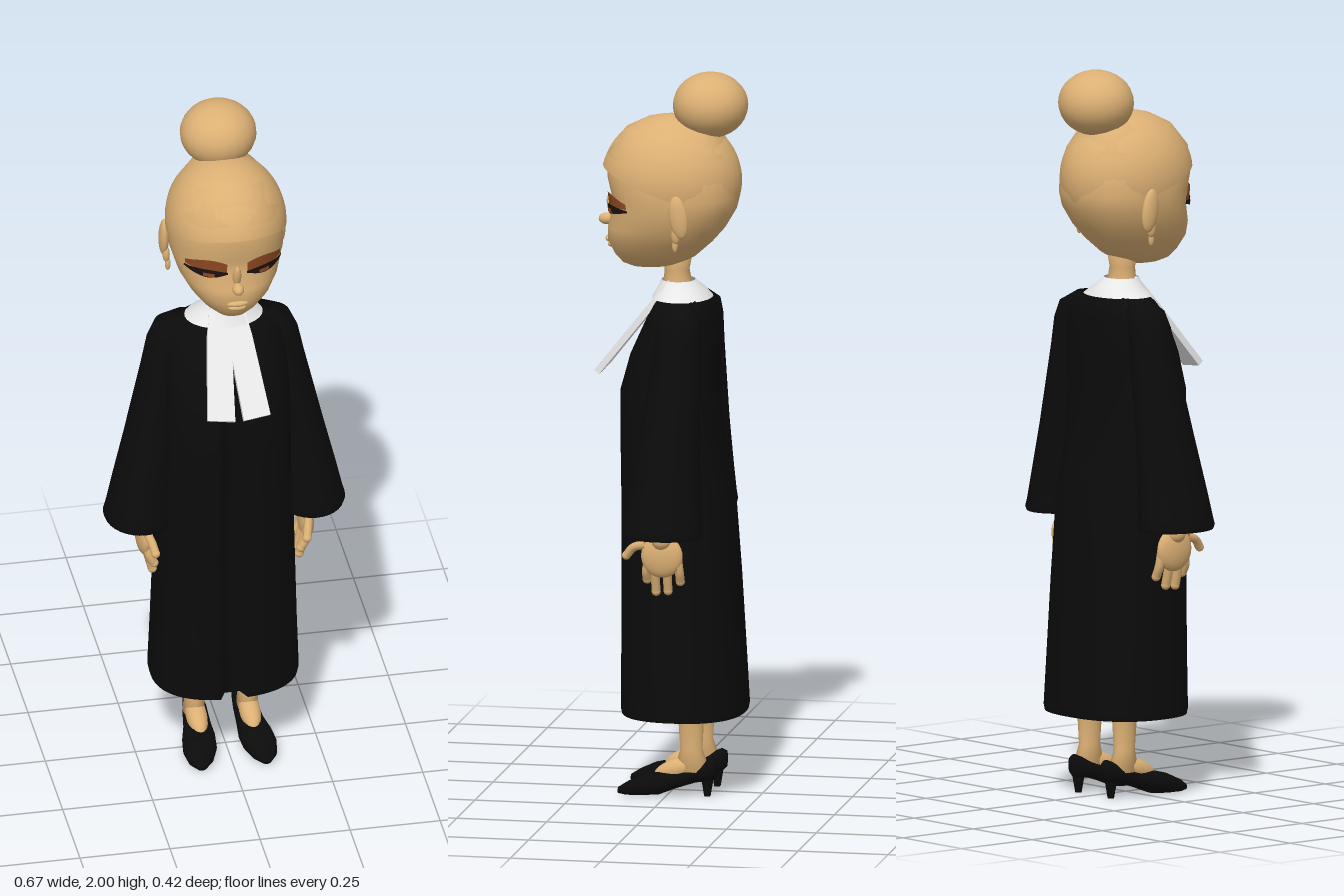
import * as THREE from 'three';

const mat = (name, color, side = THREE.FrontSide) =>
  Object.assign(new THREE.MeshStandardMaterial({ color, side }), { name });

// Joins rings of points into one smooth skin; caps are optional
function loft(rings, capped = true) {
  const n = rings[0].length, pos = rings.flat(2), idx = [];
  for (let i = 0; i < rings.length - 1; i++) {
    for (let j = 0; j < n; j++) {
      const a = i * n + j, b = i * n + (j + 1) % n;
      idx.push(a, b, a + n, b, b + n, a + n);
    }
  }
  if (capped) {
    [0, rings.length - 1].forEach((r, end) => {
      const c = pos.length / 3;
      for (let k = 0; k < 3; k++) pos.push(rings[r].reduce((s, p) => s + p[k], 0) / n);
      for (let j = 0; j < n; j++) {
        const a = r * n + j, b = r * n + (j + 1) % n;
        idx.push(c, end ? a : b, end ? b : a);
      }
    });
  }
  const g = new THREE.BufferGeometry();
  g.setAttribute('position', new THREE.Float32BufferAttribute(pos, 3));
  g.setIndex(idx);
  g.computeVertexNormals();
  return g;
}

// Rounded ring around (cx, cy) with radii a, b and a squareness exponent
function oval(cx, cy, a, b, n, e = 2) {
  return Array.from({ length: n }, (_, j) => {
    const t = j / n * Math.PI * 2, c = Math.cos(t), s = Math.sin(t);
    return [cx + a * Math.sign(c) * Math.abs(c) ** (2 / e), cy + b * Math.sign(s) * Math.abs(s) ** (2 / e)];
  });
}

// Level ring from [y, half width, front z, back z]
const level = ([y, rx, zf, zb], n, e, cx = 0) =>
  oval(cx, (zf + zb) / 2, rx, (zf - zb) / 2, n, e).map(([x, z]) => [x, y, z]);

const HEAD = [
  [1.87, .05, .07, -.10], [1.84, .10, .13, -.13], [1.78, .142, .175, -.165],
  [1.71, .156, .178, -.182], [1.66, .157, .166, -.184], [1.62, .153, .162, -.174],
  [1.57, .137, .176, -.145], [1.53, .113, .178, -.11], [1.49, .08, .158, -.065],
  [1.467, .052, .138, -.025], [1.455, .02, .11, .03],
];

// Depth of the face surface at a point
function faceZ(x, y) {
  const i = HEAD.findIndex(s => s[0] <= y), p = HEAD[i - 1], q = HEAD[i];
  const t = (p[0] - y) / (p[0] - q[0]);
  const [, rx, zf, zb] = p.map((v, k) => v + (q[k] - v) * t);
  return (zf + zb) / 2 + (zf - zb) / 2 * (1 - Math.abs(x / rx) ** 2.3) ** (1 / 2.3);
}

// Thin painted strip that follows the face
function facePatch(x0, x1, bottom, top, lift) {
  const pos = [], idx = [], n = 10;
  for (let i = 0; i <= n; i++) {
    const t = i / n, x = x0 + (x1 - x0) * t;
    for (const y of [bottom(t), top(t)]) pos.push(x, y, faceZ(x, y) + lift);
    if (i < n) idx.push(2 * i, 2 * i + 2, 2 * i + 1, 2 * i + 1, 2 * i + 2, 2 * i + 3);
  }
  const g = new THREE.BufferGeometry();
  g.setAttribute('position', new THREE.Float32BufferAttribute(pos, 3));
  g.setIndex(idx);
  g.computeVertexNormals();
  return g;
}

export function createModel() {
  const skin = mat('skin', 0xdcb074, THREE.DoubleSide);
  const black = mat('black cloth', 0x0b0b0b, THREE.DoubleSide);
  const white = mat('white linen', 0xe6e6e6, THREE.DoubleSide);
  const shadow = mat('eye shadow', 0x8f4a22, THREE.DoubleSide);
  const lash = mat('lash', 0x1c1210, THREE.DoubleSide);
  const model = new THREE.Group();

  const add = (parent, name, geo, m) => {
    const mesh = new THREE.Mesh(geo, m);
    mesh.name = name;
    parent.add(mesh);
    return mesh;
  };
  const ball = (parent, name, m, [x, y, z], [rx, ry, rz], tilt = 0) => add(parent, name,
    new THREE.SphereGeometry(1, 24, 16).scale(rx, ry, rz).rotateX(tilt).translate(x, y, z), m);
  const tube = (parent, name, m, pts, r) => {
    const path = new THREE.CatmullRomCurve3(pts.map(p => new THREE.Vector3(...p)));
    add(parent, name, new THREE.TubeGeometry(path, 8, r, 8), m);
    ball(parent, name + 'Tip', m, pts[pts.length - 1], [r, r, r]);
  };

  // Head, swept-up hair and bun
  add(model, 'head', loft(HEAD.map(s => level(s, 40, 2.3))), skin);
  add(model, 'hair', new THREE.SphereGeometry(1, 36, 20, 0, Math.PI * 2, 0, 1.7)
    .rotateX(-.35).scale(.165, .18, .193).translate(0, 1.7, .003), skin);
  ball(model, 'bun', skin, [0, 1.91, -.105], [.105, .09, .103]);
  ball(model, 'nose', skin, [0, 1.582, .184], [.016, .016, .022]);
  ball(model, 'noseBridge', skin, [0, 1.61, .166], [.012, .04, .014], .3);
  ball(model, 'upperLip', skin, [0, 1.53, .174], [.03, .009, .012]);
  ball(model, 'lowerLip', skin, [0, 1.514, .168], [.025, .009, .012]);
  add(model, 'neck', loft([[1.52, .045, .04, -.06], [1.45, .036, .022, -.046],
    [1.40, .042, .026, -.055], [1.36, .06, .03, -.07]].map(s => level(s, 24, 2))), skin);

  // Robe with a recessed front opening
  const robe = [
    [1.405, .055, .015, -.08], [1.385, .085, .03, -.095], [1.36, .13, .045, -.112],
    [1.32, .165, .065, -.125], [1.22, .172, .11, -.13], [1.12, .175, .138, -.13],
    [1.0, .178, .138, -.135], [.9, .182, .136, -.152], [.8, .187, .135, -.17],
    [.6, .193, .135, -.185], [.4, .199, .135, -.197], [.24, .205, .136, -.206], [.225, .202, .133, -.203],
  ].map(s => level(s, 96, 2.4).map(([x, y, z]) =>
    [x, y, z > 0 && Math.abs(x) < .022 && y < 1.15 ? z - .035 : z]));
  add(model, 'robe', loft(robe, false), black);

  // Collar and two neck tabs
  add(model, 'collar', loft([[1.422, .05, .03, -.062], [1.4, .07, .04, -.09],
    [1.375, .108, .055, -.11]].map(s => level(s, 32, 2)), false), white);
  const tab = new THREE.Shape([[0, .01], [.045, .01], [.062, -.08], [.087, -.305], [.012, -.315], [0, -.15]]
    .map(p => new THREE.Vector2(...p)));

  for (const side of [1, -1]) {
    const half = new THREE.Group();
    half.name = side > 0 ? 'leftSide' : 'rightSide';
    half.scale.x = side;
    model.add(half);

    add(half, 'neckTab', new THREE.ExtrudeGeometry(tab, { depth: .018, bevelEnabled: false })
      .rotateX(-.67).translate(0, 1.405, -.002), white);

    // Painted eyes
    add(half, 'eyeShadow', facePatch(.028, .132, t => 1.627 + .008 * t,
      t => 1.64 + .03 * Math.sin(Math.PI * (.2 + .7 * t)), .009), shadow);
    add(half, 'lashes', facePatch(.026, .135, t => 1.626 - .012 * Math.sin(Math.PI * t),
      t => 1.632 + .007 * Math.sin(Math.PI * t), .013), lash);
    add(half, 'iris', facePatch(.062, .092, t => 1.617, t => 1.628, .015), shadow);

    // Ear and earring
    ball(half, 'ear', skin, [.162, 1.625, -.048], [.014, .06, .026], .15);
    ball(half, 'earLobe', skin, [.157, 1.575, -.04], [.01, .025, .013]);
    ball(half, 'earring', skin, [.153, 1.545, -.037], [.008, .02, .008]);

    // Wide sleeve: [y, centre x, centre z, half width, half depth]
    const sleeve = [
      [1.375, .11, -.045, .025, .03], [1.345, .143, -.048, .045, .055], [1.3, .158, -.046, .051, .062],
      [1.22, .168, -.043, .058, .066], [1.0, .205, -.03, .072, .085], [.86, .227, -.023, .084, .1],
      [.785, .236, -.02, .092, .109], [.765, .239, -.02, .095, .112], [.754, .238, -.02, .092, .109],
    ];
    add(half, 'sleeve', loft(sleeve.map(([y, cx, cz, rx, rz]) =>
      level([y, rx, cz + rz, cz - rz], 32, 2, cx)), false), black);

    // Arm, hand and fingers
    tube(half, 'forearm', skin, [[.215, 1.0, -.03], [.228, .85, -.02], [.23, .74, -.015]], .028);
    ball(half, 'palm', skin, [.225, .695, -.015], [.022, .06, .058]);
    tube(half, 'thumb', skin, [[.225, .725, .03], [.217, .715, .065], [.21, .69, .087]], .012);
    [[.03, .625], [.005, .592], [-.028, .595], [-.062, .622]].forEach(([z, y]) =>
      tube(half, 'finger', skin, [[.222, .69, z * .85 - .005], [.217, .65, z], [.204, y, z]], .0125));

    // Leg and foot
    add(half, 'leg', loft([[.6, .045, -.01, -.11], [.35, .042, -.015, -.115], [.22, .031, -.03, -.102],
      [.13, .026, -.036, -.097], [.07, .03, -.02, -.12]].map(s => level(s, 20, 2, .074))), skin);
    ball(half, 'foot', skin, [.074, .075, -.035], [.029, .03, .075], .3);

    // Heeled shoe: [z, centre x, half width, bottom, top]
    const shoe = [
      [-.137, .068, .012, .055, .1], [-.122, .068, .028, .042, .106], [-.08, .07, .034, .038, .088],
      [-.03, .073, .038, .022, .07], [.02, .078, .046, .003, .067], [.065, .083, .047, 0, .056],
      [.108, .088, .034, 0, .036], [.133, .09, .012, .003, .02],
    ];
    add(half, 'shoe', loft(shoe.map(([z, cx, w, b, t]) =>
      oval(cx, (b + t) / 2, w, (t - b) / 2, 24, 2.3).map(([x, y]) => [x, y, z]))), black);
    add(half, 'heel', new THREE.CylinderGeometry(.02, .009, .065, 12).translate(.069, .0325, -.11), black);
  }
  return model;
}
